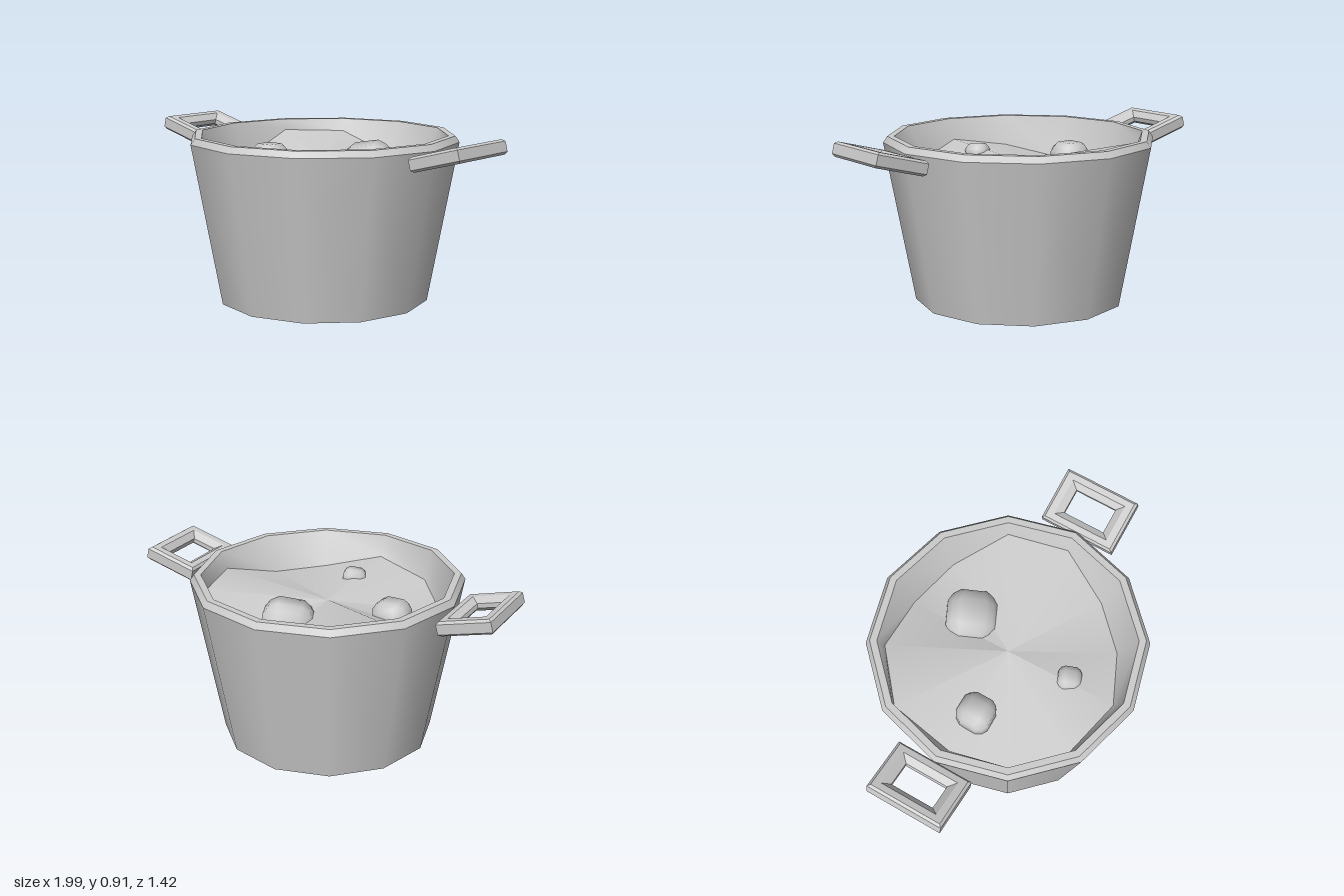
import * as THREE from 'three';

const SIDES = 12;

// Skin a list of closed rings (each an array of [x, y, z])
function loft(rings, flat) {
  const n = rings[0].length, index = [];
  for (let i = 0; i < rings.length - 1; i++) {
    for (let j = 0; j < n; j++) {
      const a = i * n + j, b = i * n + (j + 1) % n, c = b + n, d = a + n;
      index.push(a, b, d, c, d, b);
    }
  }
  let geo = new THREE.BufferGeometry();
  geo.setAttribute('position', new THREE.Float32BufferAttribute(rings.flat(2), 3));
  geo.setIndex(index);
  if (flat) geo = geo.toNonIndexed();
  geo.computeVertexNormals();
  return geo;
}

// Ring of points around the y axis; each entry is [radius, height]
const ring = (entries) => entries.map(([r, y], k) => {
  const a = (k / entries.length) * Math.PI * 2;
  return [r * Math.sin(a), y, r * Math.cos(a)];
});

// Rectangular frame with a chamfered bar section: [inset, height]
function frameGeometry(hx, hz) {
  const section = [
    [0, -0.026], [0, 0.026], [0.012, 0.038], [0.045, 0.038],
    [0.078, 0.012], [0.078, -0.012], [0.045, -0.038], [0.012, -0.038], [0, -0.026],
  ];
  const corners = [[1, 1], [1, -1], [-1, -1], [-1, 1]];
  return loft(section.map(([inset, y]) =>
    corners.map(([sx, sz]) => [sx * (hx - inset), y, sz * (hz - inset * 1.15)])), true);
}

// Rounded cube: a gridded box pulled towards a sphere, faces welded for smooth normals
function chunkGeometry(radius) {
  const steps = [-1, -0.5, 0.5, 1];
  const geo = new THREE.BoxGeometry(2, 2, 2, 3, 3, 3);
  const p = geo.attributes.position, nrm = geo.attributes.normal;
  const v = new THREE.Vector3();
  const snap = (t) => steps[Math.round((t + 1) * 1.5)];
  for (let i = 0; i < p.count; i++) {
    v.set(snap(p.getX(i)), snap(p.getY(i)), snap(p.getZ(i))).normalize();
    nrm.setXYZ(i, v.x, v.y, v.z);
    v.multiplyScalar(radius / 0.82);
    p.setXYZ(i, v.x, v.y, v.z);
  }
  return geo;
}

export function createModel() {
  const model = new THREE.Group();
  model.name = 'cookingPot';
  const material = new THREE.MeshStandardMaterial({ color: 0xcccccc });
  const add = (name, geo, parent = model) => {
    const mesh = new THREE.Mesh(geo, material);
    mesh.name = name;
    parent.add(mesh);
    return mesh;
  };

  // Pot body: separate strips keep the rim and base edges sharp
  const strips = {
    base: [[0, 0], [0.555, 0]],
    outerWall: [[0.555, 0], [0.71, 0.843]],
    rimChamfer: [[0.71, 0.843], [0.688, 0.875]],
    rimTop: [[0.688, 0.875], [0.652, 0.875]],
  };
  for (const [name, pts] of Object.entries(strips)) {
    add(name, new THREE.LatheGeometry(pts.map(([r, y]) => new THREE.Vector2(r, y)), SIDES));
  }

  // Uneven stew surface meeting the tapered inner wall
  const edge = [
    [0.604, 0.765], [0.556, 0.70], [0.558, 0.695], [0.62, 0.785], [0.627, 0.79], [0.576, 0.69],
    [0.56, 0.70], [0.618, 0.81], [0.645, 0.815], [0.588, 0.67], [0.59, 0.65], [0.61, 0.715],
  ];
  add('innerWall', loft([ring(edge.map(() => [0.652, 0.875])), ring(edge)]));
  add('stewSurface', loft([ring(edge), ring(edge.map(() => [0, 0.73]))]));

  // Chunks floating in the stew: radius, position, turn
  const chunks = [
    [0.13, [0.085, 0.67, -0.27], [0.12, 0.45, 0.1]],
    [0.09, [-0.36, 0.70, 0.025], [0, 0, 0]],
    [0.06, [0.027, 0.72, 0.34], [0.1, 0.4, 0.1]],
  ];
  chunks.forEach(([r, pos, rot], i) => {
    const chunk = add(`stewChunk${i + 1}`, chunkGeometry(r));
    chunk.position.set(...pos);
    chunk.rotation.set(...rot);
  });

  // Handles: tilted open frames on both sides
  const handleGeo = frameGeometry(0.145, 0.205);
  for (const [name, turn] of [['leftHandle', 0], ['rightHandle', Math.PI]]) {
    const side = new THREE.Group();
    side.name = name;
    side.rotation.y = turn;
    const frame = add('handleFrame', handleGeo, side);
    frame.position.set(0.85, 0.835, 0);
    frame.rotation.z = 0.262;
    model.add(side);
  }
  return model;
}
